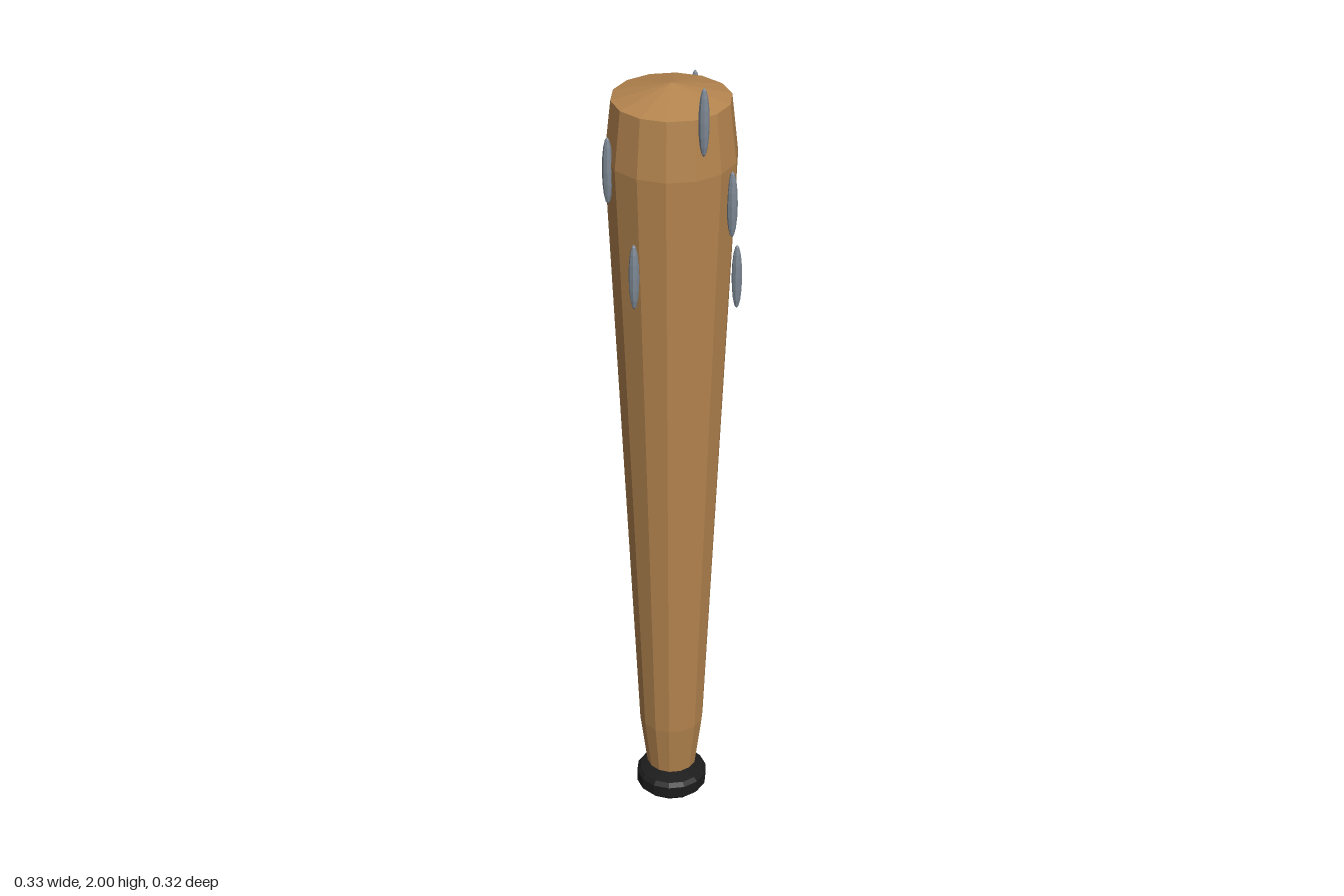
import * as THREE from 'three';

const SIDES = 14;

export function createModel() {
  const group = new THREE.Group();
  group.name = 'spikedClub';

  const material = (name, color) => {
    const m = new THREE.MeshStandardMaterial({ color, flatShading: true });
    m.name = name;
    return m;
  };
  const wood = material('wood', 0xb5854f);
  const black = material('black', 0x1c1c1c);
  const steel = material('steel', 0x7d8894);

  const add = (name, geometry, mat) => {
    const mesh = new THREE.Mesh(geometry, mat);
    mesh.name = name;
    group.add(mesh);
    return mesh;
  };
  // Faceted lathe from [radius, height] pairs, with a corner on the x axis
  const turned = (points) =>
    new THREE.LatheGeometry(points.map(([r, y]) => new THREE.Vector2(r, y)), SIDES, Math.PI / 2);

  // Tapered shaft with a shallow pointed top
  add('shaft', turned([
    [0, 0.05], [0.035, 0.06], [0.062, 0.08], [0.08, 0.22],
    [0.152, 1.78], [0.137, 1.92], [0, 1.955],
  ]), wood).position.x = -0.002;

  // Rounded knob at the foot
  add('knob', turned([
    [0, 0], [0.045, 0], [0.08, 0.008], [0.089, 0.018],
    [0.089, 0.048], [0.08, 0.058], [0.045, 0.066], [0, 0.066],
  ]), black).position.x = -0.002;

  // Slim studs climbing the head in a spiral
  const studGeometry = new THREE.SphereGeometry(1, 8, 8).scale(0.0125, 0.082, 0.0125);
  for (let i = 0; i < 7; i++) {
    const angle = i * 2.3;
    const stud = add('stud' + (i + 1), studGeometry, steel);
    stud.position.set(Math.cos(angle) * 0.153 - 0.002, 1.46 + i * 0.0765, Math.sin(angle) * 0.153);
    stud.rotation.y = -angle + Math.PI / 8;
  }
  return group;
}
